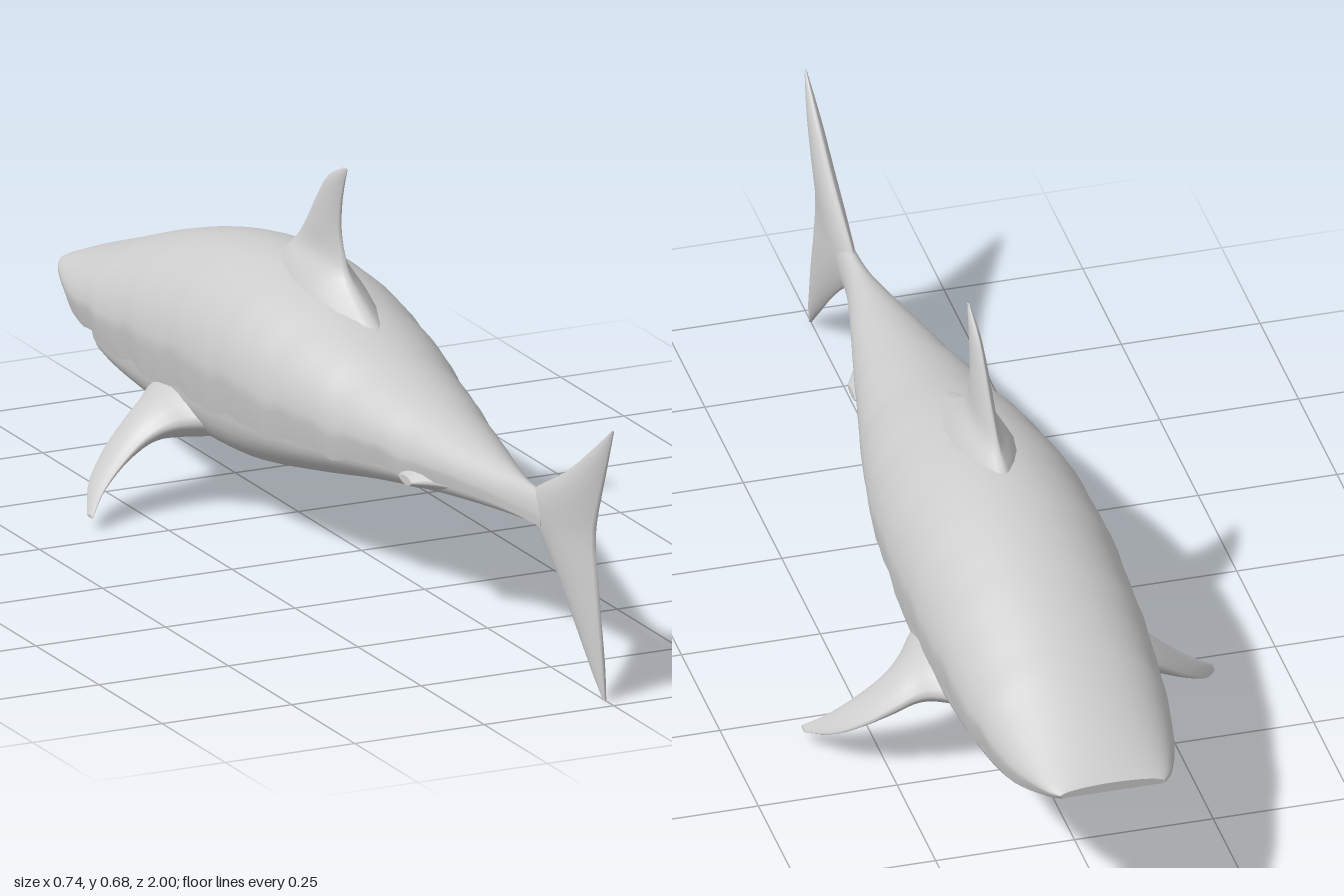
import * as THREE from 'three';

const material = new THREE.MeshStandardMaterial({ color: 0xcccccc, side: THREE.DoubleSide });

// Smoothly resample rows of numbers, one spline per column
function resample(rows, count) {
  const curves = rows[0].map((_, c) => new THREE.SplineCurve(rows.map((r, i) => new THREE.Vector2(i, r[c]))));
  return Array.from({ length: count + 1 }, (_, i) => curves.map((k) => k.getPoint(i / count).y));
}

// Skin closed rings of [x, y, z] points and cap both ends
function loft(name, rings) {
  const n = rings[0].length;
  const pos = rings.flat(2);
  let index = [];
  for (let i = 0; i < rings.length - 1; i++) {
    for (let j = 0; j < n; j++) {
      const a = i * n + j, b = i * n + (j + 1) % n;
      index.push(a, b, a + n, b, b + n, a + n);
    }
  }
  [0, rings.length - 1].forEach((r, side) => {
    const start = pos.length / 3;
    const centre = [0, 1, 2].map((k) => rings[r].reduce((s, p) => s + p[k], 0) / n);
    pos.push(...rings[r].flat(), ...centre);
    for (let j = 0; j < n; j++) {
      const a = start + j, b = start + (j + 1) % n;
      index.push(...(side ? [a, b, start + n] : [b, a, start + n]));
    }
  });
  // Turn the faces outward if the signed volume is negative
  const at = (i) => new THREE.Vector3().fromArray(pos, i * 3);
  let volume = 0;
  for (let i = 0; i < index.length; i += 3) {
    volume += at(index[i]).dot(at(index[i + 1]).cross(at(index[i + 2])));
  }
  if (volume < 0) index.reverse();
  const geometry = new THREE.BufferGeometry();
  geometry.setAttribute('position', new THREE.Float32BufferAttribute(pos, 3));
  geometry.setIndex(index);
  geometry.computeVertexNormals();
  const mesh = new THREE.Mesh(geometry, material);
  mesh.name = name;
  return mesh;
}

// Fin from lens-shaped sections; place(u, v, row) maps chord and thickness to a point
function fin(name, rows, place, count = 20) {
  const sides = 16;
  return loft(name, resample(rows, count).map((row) => Array.from({ length: sides }, (_, j) => {
    const a = j / sides * Math.PI * 2;
    const s = Math.sin(a);
    return place(0.5 - 0.5 * Math.cos(a), s * Math.sqrt(Math.abs(s)), row);
  })));
}

const mix = THREE.MathUtils.lerp;
const upright = (u, v, [y, front, back, half]) => [v * half, y, mix(front, back, u)];

export function createModel() {
  const shark = new THREE.Group();
  shark.name = 'shark';

  // Upper body: z, half width, back height, lip height
  const upper = resample([
    [-1, 0.095, 0.283, 0.265], [-0.96, 0.118, 0.3, 0.25], [-0.85, 0.152, 0.34, 0.22], [-0.7, 0.175, 0.395, 0.212],
    [-0.55, 0.185, 0.44, 0.212], [-0.4, 0.19, 0.47, 0.218], [-0.25, 0.189, 0.48, 0.222], [-0.1, 0.18, 0.462, 0.226],
    [0.05, 0.157, 0.43, 0.232], [0.2, 0.125, 0.392, 0.245], [0.4, 0.08, 0.353, 0.26], [0.55, 0.045, 0.33, 0.265],
    [0.65, 0.024, 0.319, 0.262], [0.74, 0.016, 0.318, 0.262],
  ], 90);
  shark.add(loft('upperBody', upper.map(([z, w, top, lipY]) => {
    // Ragged lip along the flanks
    const fade = THREE.MathUtils.smoothstep(z, -0.9, -0.7) * (1 - THREE.MathUtils.smoothstep(z, 0.3, 0.55));
    const lip = lipY + fade * (0.006 * Math.sin(z * 31) + 0.004 * Math.sin(z * 67 + 1));
    const mid = mix(lip, top, 0.24);
    const ring = [];
    for (let j = 0; j <= 24; j++) {
      const a = j / 24 * Math.PI;
      ring.push([w * Math.cos(a), mid + (top - mid) * Math.sin(a), z]);
    }
    const rim = 0.94 * w, roof = mix(lip, mid, 0.2);
    // Doubled rim points keep the lip edge sharp
    ring.push([-rim, lip, z], [-rim, lip, z], [-0.82 * w, roof, z], [0, roof, z]);
    ring.push([0.82 * w, roof, z], [rim, lip, z], [rim, lip, z]);
    return ring;
  })));

  // Lower jaw and belly: z, half width, top height, bottom height
  const belly = resample([
    [-0.842, 0.105, 0.199, 0.178], [-0.82, 0.122, 0.204, 0.163], [-0.75, 0.145, 0.204, 0.148], [-0.6, 0.166, 0.215, 0.134],
    [-0.4, 0.178, 0.235, 0.12], [-0.2, 0.174, 0.245, 0.122], [0, 0.15, 0.25, 0.157], [0.2, 0.11, 0.26, 0.197],
    [0.4, 0.067, 0.27, 0.227], [0.6, 0.029, 0.275, 0.248], [0.72, 0.013, 0.275, 0.257],
  ], 50);
  shark.add(loft('jawAndBelly', belly.map(([z, w, top, bottom]) => {
    const ring = [];
    for (let j = 0; j <= 20; j++) {
      const a = j / 20 * Math.PI;
      const c = Math.cos(a), s = Math.sin(a);
      ring.push([w * Math.sign(c) * Math.abs(c) ** 0.75, top - (top - bottom) * s ** 0.75, z]);
    }
    ring.push([-w, top, z], [0, top, z], [w, top, z]);
    return ring;
  })));

  // Dorsal fin: y, leading z, trailing z, half thickness
  shark.add(fin('dorsalFin', [
    [0.415, -0.36, 0.09, 0.07], [0.45, -0.33, 0.02, 0.06], [0.485, -0.29, -0.04, 0.042], [0.515, -0.25, -0.062, 0.021],
    [0.56, -0.21, -0.08, 0.016], [0.61, -0.172, -0.079, 0.012], [0.655, -0.13, -0.067, 0.008], [0.685, -0.07, -0.055, 0.002],
  ], upright));

  // Tail fin with upper and lower lobes
  shark.add(fin('tailFin', [
    [0.008, 0.962, 0.967, 0.003], [0.06, 0.91, 0.961, 0.011], [0.135, 0.835, 0.95, 0.016], [0.205, 0.757, 0.939, 0.018],
    [0.255, 0.69, 0.931, 0.018], [0.285, 0.66, 0.93, 0.018], [0.318, 0.69, 0.933, 0.018], [0.38, 0.81, 0.953, 0.016],
    [0.445, 0.908, 0.977, 0.011], [0.507, 0.995, 1, 0.002],
  ], upright, 36));

  for (const side of [1, -1]) {
    const label = side > 0 ? 'left' : 'right';
    const outward = (u, v, [x, y, half, front, back]) => [side * x, y + v * half, mix(front, back, u)];

    // Pectoral fin: x, centre y, half thickness, leading z, trailing z
    shark.add(fin(label + 'PectoralFin', [
      [0.13, 0.185, 0.052, -0.55, -0.24], [0.175, 0.177, 0.046, -0.5, -0.3], [0.205, 0.162, 0.037, -0.475, -0.34],
      [0.24, 0.138, 0.029, -0.462, -0.358], [0.29, 0.1, 0.018, -0.437, -0.353],
      [0.335, 0.063, 0.01, -0.395, -0.335], [0.369, 0.031, 0.003, -0.33, -0.306],
    ], outward));

    // Small pelvic nub near the tail
    shark.add(fin(label + 'PelvicNub', [
      [0.055, 0.262, 0.024, 0.26, 0.46], [0.075, 0.258, 0.02, 0.3, 0.42], [0.093, 0.252, 0.008, 0.34, 0.39],
    ], outward, 8));
  }
  return shark;
}
